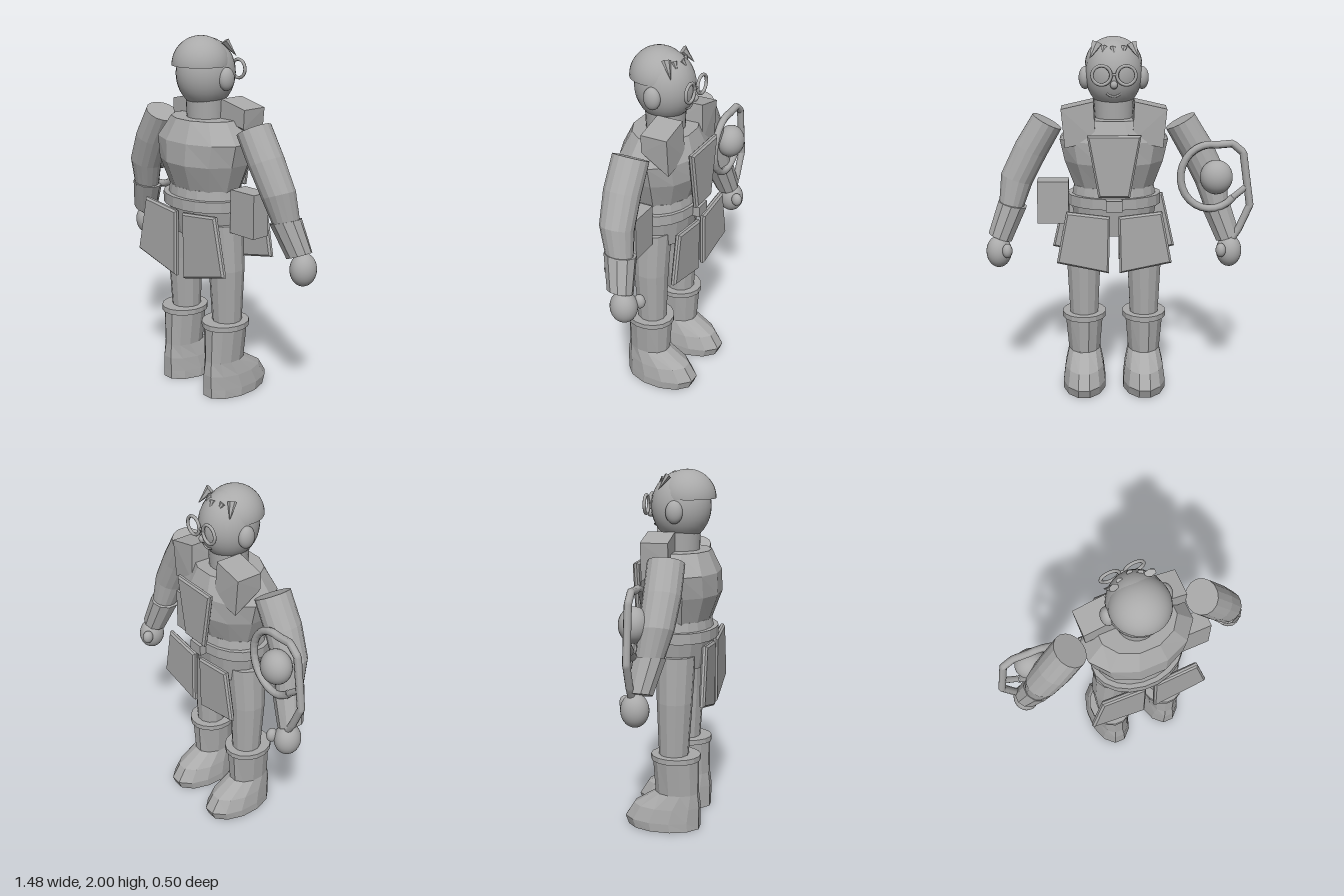
import * as THREE from 'three';
import { ConvexGeometry } from 'three/addons/geometries/ConvexGeometry.js';

const grey = new THREE.MeshStandardMaterial({ color: 0xaaaaaa });
grey.name = 'plain grey';

export function createModel() {
  const root = new THREE.Group();
  root.name = 'armouredFigure';
  // the body is symmetric about a plane just beside the origin
  const body = new THREE.Group();
  body.name = 'body';
  body.position.x = 0.0275;
  root.add(body);

  const add = (name, geo, x = 0, y = 0, z = 0) => {
    const m = new THREE.Mesh(geo, grey);
    m.name = name;
    m.position.set(x, y, z);
    body.add(m);
    return m;
  };
  const ball = (name, x, y, z, rx, ry, rz) => {
    const m = add(name, new THREE.SphereGeometry(1, 28, 18), x, y, z);
    m.scale.set(rx, ry, rz);
    return m;
  };
  const faceted = (geo) => {
    const g = geo.index ? geo.toNonIndexed() : geo;
    g.computeVertexNormals();
    return g;
  };

  // skin elliptical rings [x, y, z, rx, rz, tilt], listed from top to bottom, with end caps
  const loft = (name, rings, n = 12) => {
    const pos = [], idx = [];
    for (const [x, y, z, rx, rz, t = 0] of rings) {
      for (let j = 0; j < n; j++) {
        const a = (j + 0.5) / n * Math.PI * 2, c = Math.cos(a) * rx;
        pos.push(x + c * Math.cos(t), y + c * Math.sin(t), z + Math.sin(a) * rz);
      }
    }
    const top = rings.length * n, last = top - n;
    pos.push(...rings[0].slice(0, 3), ...rings[rings.length - 1].slice(0, 3));
    for (let j = 0; j < n; j++) {
      const k = (j + 1) % n;
      for (let r = 0; r < last; r += n) {
        idx.push(r + j, r + k, r + n + j, r + k, r + n + k, r + n + j);
      }
      idx.push(top, k, j, top + 1, last + j, last + k);
    }
    const g = new THREE.BufferGeometry();
    g.setAttribute('position', new THREE.Float32BufferAttribute(pos, 3));
    g.setIndex(idx);
    return add(name, faceted(g));
  };

  // bevelled flat armour plate
  const plate = (name, pts, z, s = 1) => {
    const shape = new THREE.Shape(pts.map(([x, y]) => new THREE.Vector2(x * s, y)));
    const g = new THREE.ExtrudeGeometry(shape, {
      depth: 0.014, bevelEnabled: true, bevelThickness: 0.01, bevelSize: 0.011,
      bevelOffset: -0.011, bevelSegments: 1,
    });
    return add(name, g, 0, 0, z);
  };

  // torso, waist and belts
  loft('torso', [
    [0, 1.565, 0.03, 0.215, 0.17], [0, 1.45, 0.035, 0.308, 0.22],
    [0, 1.33, 0.035, 0.28, 0.225], [0, 1.17, 0.035, 0.22, 0.165],
  ]);
  loft('waistBand', [[0, 1.19, 0.035, 0.225, 0.17], [0, 1.13, 0.035, 0.235, 0.18]], 20);
  loft('belt', [[0, 1.14, 0.04, 0.262, 0.2], [0, 1.08, 0.04, 0.262, 0.2]], 20);
  loft('pelvis', [[0, 1.08, 0.035, 0.24, 0.175], [0, 0.92, 0.03, 0.21, 0.15]], 16);
  add('buckle', new THREE.BoxGeometry(0.09, 0.06, 0.04), 0, 1.11, -0.18);
  plate('chestPlate', [[-0.085, 1.16], [0.085, 1.16], [0.145, 1.5], [-0.145, 1.5]], -0.2);
  add('hipPouch', new THREE.BoxGeometry(0.175, 0.24, 0.11), 0.34, 1.09, 0.03);

  // head
  add('neck', new THREE.CylinderGeometry(0.11, 0.105, 0.12, 24), 0, 1.615, 0.03);
  ball('head', 0, 1.8, 0.032, 0.156, 0.19, 0.166);
  const cap = add('skullCap', new THREE.SphereGeometry(1, 32, 12, 0, Math.PI * 2, 0, Math.PI / 2), 0, 1.845, 0.067);
  cap.scale.set(0.157, 0.155, 0.157);
  const rim = add('skullCapRim', new THREE.CircleGeometry(0.157, 32), 0, 1.845, 0.067);
  rim.rotation.x = Math.PI / 2;
  ball('nose', 0, 1.76, -0.138, 0.02, 0.022, 0.022);
  const mouth = add('mouth', new THREE.TorusGeometry(0.05, 0.006, 6, 14, 1.7), 0, 1.745, -0.108);
  mouth.rotation.z = -Math.PI / 2 - 0.85;
  const bridge = add('glassesBridge', new THREE.CylinderGeometry(0.007, 0.007, 0.05, 8), 0, 1.815, -0.148);
  bridge.rotation.z = Math.PI / 2;

  // hair tufts along the forehead
  [[-0.115, 0.03, -0.4], [-0.05, 0.018, 0.2], [0.0, 0.018, -0.2], [0.06, 0.02, 0.3], [0.11, 0.032, 0.4]]
    .forEach(([x, r, tilt]) => {
      const tuft = add('hairTuft', faceted(new THREE.ConeGeometry(r, r * 3.2, 6)), x, 1.93, -0.085 + Math.abs(x) * 0.35);
      tuft.rotation.set(0.55, 0, Math.PI + tilt);
      tuft.scale.z = 0.6;
    });

  // paired parts
  for (const s of [-1, 1]) {
    ball('ear', 0.155 * s, 1.78, 0.025, 0.036, 0.062, 0.047);
    add('glassesLens', new THREE.TorusGeometry(0.05, 0.009, 8, 28), 0.066 * s, 1.812, -0.148);

    // collar block
    const corners = [
      [0.11, 1.67, 0.02], [0.285, 1.63, 0.02], [0.11, 1.67, -0.13], [0.285, 1.63, -0.13],
      [0.1, 1.56, 0.02], [0.28, 1.53, 0.02], [0.1, 1.46, -0.14], [0.265, 1.42, -0.13],
    ];
    add('collarBlock', new ConvexGeometry(corners.map(([x, y, z]) => new THREE.Vector3(x * s, y, z))));

    // skirt plates
    plate('rearSkirtPlate', [[0.025, 1.06], [0.285, 1.09], [0.357, 0.77], [0.03, 0.685]], 0.212, s);
    plate('frontSkirtPlate', [[0.022, 1.05], [0.26, 1.08], [0.316, 0.79], [0.03, 0.73]], -0.188, s);

    // arm, sleeve and hand
    loft('arm', [
      [0.367 * s, 1.542, 0.03, 0.09, 0.1, 0.5 * s], [0.46 * s, 1.385, 0.03, 0.094, 0.1, 0.45 * s],
      [0.54 * s, 1.225, 0.018, 0.092, 0.092, 0.35 * s], [0.572 * s, 1.08, -0.01, 0.07, 0.075, 0.3 * s],
    ], 16);
    loft('sleeve', [
      [0.565 * s, 1.085, -0.012, 0.083, 0.088, 0.25 * s],
      [0.635 * s, 0.905, -0.048, 0.071, 0.07, 0.38 * s],
    ], 10);
    ball('hand', 0.643 * s, 0.825, -0.072, 0.07, 0.09, 0.075);
    ball('thumb', 0.59 * s, 0.845, -0.135, 0.028, 0.04, 0.032);

    // leg and boot
    const lx = 0.172 * s;
    loft('leg', [
      [lx * 0.85, 1.0, 0.035, 0.11, 0.11], [lx, 0.74, 0.033, 0.098, 0.1], [lx, 0.42, 0.028, 0.082, 0.083],
    ]);
    loft('bootCuff', [[lx, 0.435, 0.04, 0.125, 0.14], [lx, 0.405, 0.04, 0.125, 0.14]], 16);
    loft('boot', [
      [lx, 0.41, 0.04, 0.11, 0.13], [lx, 0.21, 0.048, 0.093, 0.125], [lx, 0.13, -0.01, 0.113, 0.195],
      [lx, 0.05, -0.036, 0.124, 0.22], [lx, 0, -0.026, 0.124, 0.21],
    ]);
  }

  // hand-held device: orb inside a half round, half angular frame
  const frame = [];
  for (let i = 0; i <= 18; i++) {
    const a = THREE.MathUtils.degToRad(-140 + i * 240 / 18);
    frame.push(new THREE.Vector3(-0.53 + 0.165 * Math.cos(a), 1.25 + 0.18 * Math.sin(a), -0.085));
  }
  frame.push(...[[-0.645, 1.435], [-0.705, 1.385], [-0.75, 1.09], [-0.69, 0.95], [-0.645, 0.88]]
    .map(([x, y]) => new THREE.Vector3(x, y, -0.085)));
  const path = new THREE.CurvePath();
  for (let i = 1; i < frame.length; i++) path.add(new THREE.LineCurve3(frame[i - 1], frame[i]));
  add('deviceFrame', new THREE.TubeGeometry(path, 120, 0.021, 8));
  const brace = new THREE.LineCurve3(frame[0], new THREE.Vector3(-0.735, 1.2, -0.085));
  add('deviceBrace', new THREE.TubeGeometry(brace, 1, 0.018, 8));
  ball('deviceOrb', -0.56, 1.25, -0.095, 0.09, 0.095, 0.08);

  return root;
}
